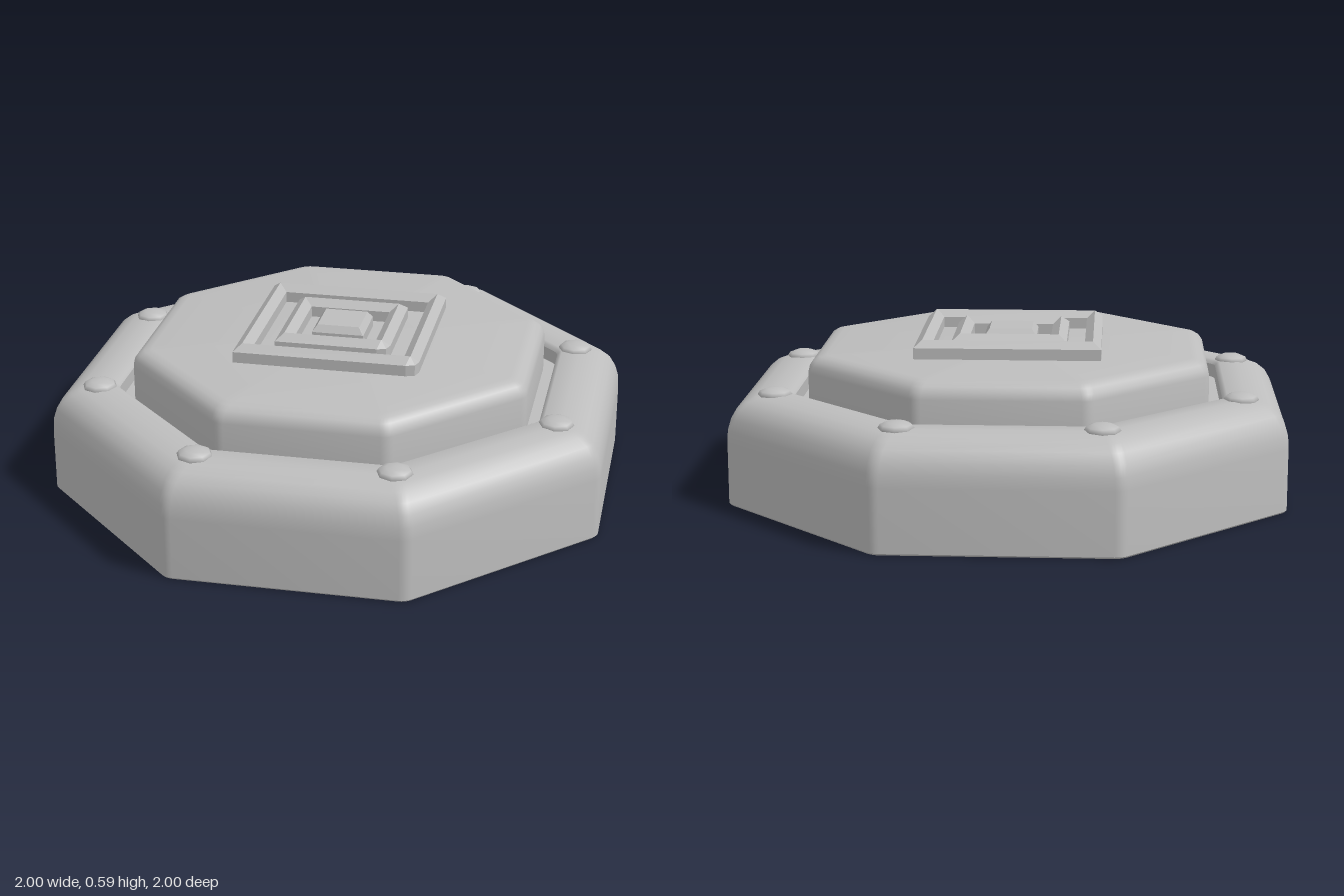
import * as THREE from 'three';
import { toCreasedNormals } from 'three/addons/utils/BufferGeometryUtils.js';

// Octagon outline with softened corners
function octagon(apothem, y) {
  const r = Math.min(0.06, apothem), steps = 4, pts = [];
  const reach = (apothem - r) / Math.cos(Math.PI / 8);
  for (let k = 0; k < 8; k++) {
    const mid = (k + 0.5) * Math.PI / 4;
    for (let s = 0; s <= steps; s++) {
      const a = (k + s / steps) * Math.PI / 4;
      pts.push([reach * Math.cos(mid) + r * Math.cos(a), y, reach * Math.sin(mid) + r * Math.sin(a)]);
    }
  }
  return pts;
}

// Diamond outline whose front corner can be blunted
function diamond(size, y, cut = 0.001) {
  return [[size, y, 0], [cut, y, size - cut], [0, y, size - cut * 0.5],
    [-cut, y, size - cut], [-size, y, 0], [0, y, -size]];
}

// Skin a stack of outlines, bottom first
function loft(rings, crease) {
  const n = rings[0].length, index = [];
  for (let i = 0; i < rings.length - 1; i++) {
    for (let j = 0; j < n; j++) {
      const k = (j + 1) % n;
      const a = i * n + j, b = i * n + k, c = a + n, d = b + n;
      index.push(a, c, b, b, c, d);
    }
  }
  const g = new THREE.BufferGeometry();
  g.setAttribute('position', new THREE.Float32BufferAttribute(rings.flat(2), 3));
  g.setIndex(index);
  return toCreasedNormals(g, crease);
}

export function createModel() {
  const model = new THREE.Group();
  model.name = 'octagonalPlatform';
  const stone = new THREE.MeshStandardMaterial({ color: 0xbdbdbd });
  stone.name = 'grey stone';

  const add = (name, geometry) => {
    const mesh = new THREE.Mesh(geometry, stone);
    mesh.name = name;
    model.add(mesh);
    return mesh;
  };
  const octagonal = (profile) => loft(profile.map(([a, y]) => octagon(a, y)), 0.6);

  // Base with rounded shoulder and a recess for the upper plate
  add('base', octagonal([
    [0, 0], [0.995, 0], [1, 0.006], [1, 0.23], [0.997, 0.275], [0.985, 0.315],
    [0.965, 0.35], [0.935, 0.375], [0.9, 0.39], [0.85, 0.396], [0.785, 0.396],
    [0.775, 0.39], [0.768, 0.38], [0.768, 0.33], [0, 0.33],
  ]));

  // Raised upper plate
  add('upperPlate', octagonal([
    [0.72, 0.32], [0.72, 0.465], [0.715, 0.488], [0.702, 0.507],
    [0.682, 0.52], [0.655, 0.525], [0, 0.525],
  ]));

  // Nested ridged diamond frames
  for (const [name, size] of [['outerFrame', 0.473], ['innerFrame', 0.295]]) {
    add(name, loft([
      diamond(size, 0.52, 0.03), diamond(size, 0.565, 0.03), diamond(size - 0.042, 0.59),
      diamond(size - 0.085, 0.565), diamond(size - 0.085, 0.52),
    ], 0.2));
  }

  // Centre diamond
  add('centreDiamond', loft([
    diamond(0.135, 0.52), diamond(0.135, 0.565), diamond(0.11, 0.59), diamond(0, 0.59, 0),
  ], 0.2));

  // Studs near the corners of the base
  const studGeometry = new THREE.SphereGeometry(0.063, 8, 6);
  studGeometry.scale(1, 0.4, 1);
  for (let k = 0; k < 8; k++) {
    const a = (k + 0.5) * Math.PI / 4;
    add('stud', studGeometry).position.set(0.9 * Math.cos(a), 0.395, 0.9 * Math.sin(a));
  }
  return model;
}
